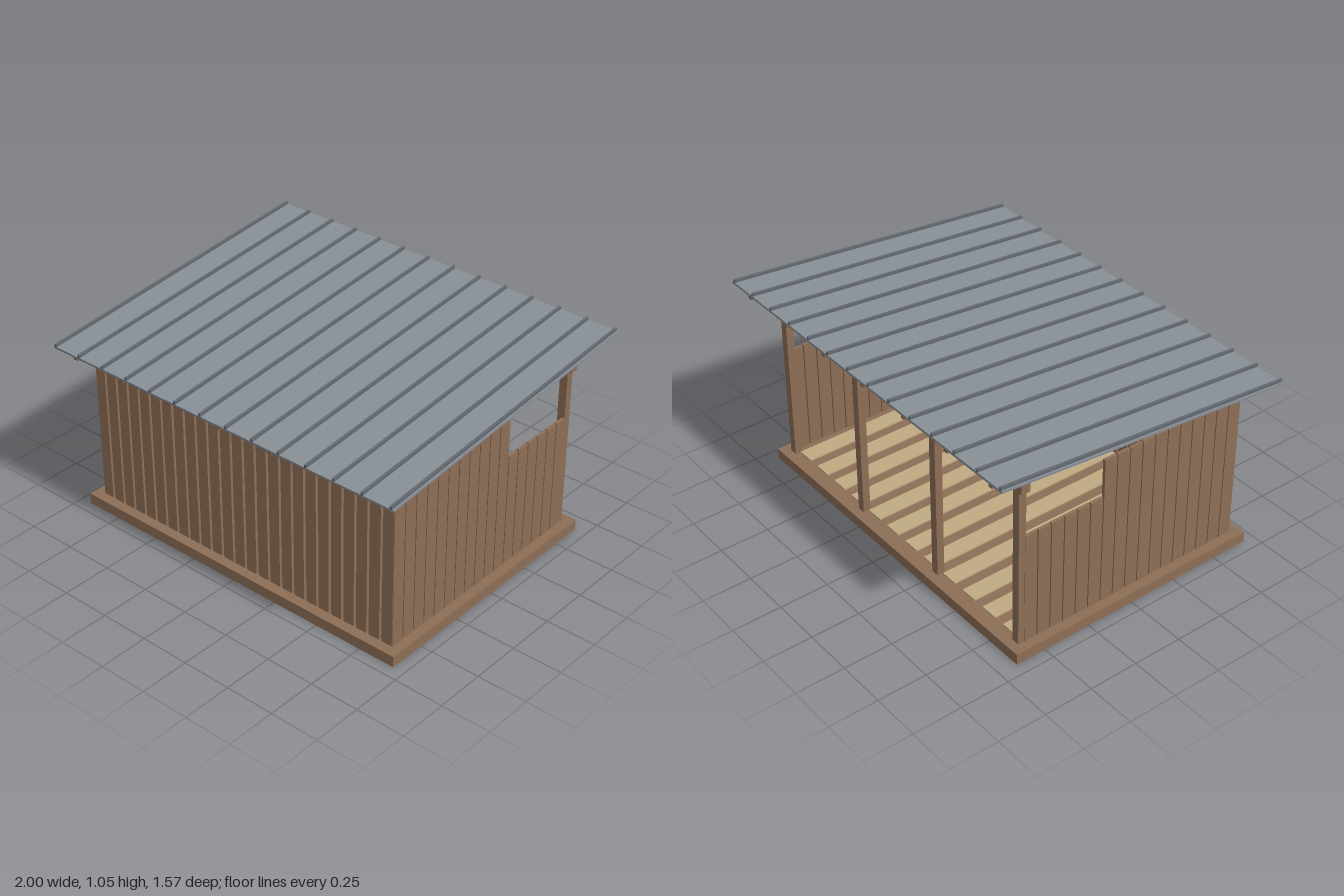
import * as THREE from 'three';

const wood = new THREE.MeshStandardMaterial({ name: 'brownWood', color: 0x8d6e56 });
const pale = new THREE.MeshStandardMaterial({ name: 'paleFloorWood', color: 0xc0aa82 });
const sheet = new THREE.MeshStandardMaterial({ name: 'greyRoofMetal', color: 0x888f96 });
const seam = new THREE.MeshStandardMaterial({ name: 'darkSeamMetal', color: 0x636a70 });

// Box given by its size and centre
function box(parent, name, mat, [w, h, d], [x, y, z]) {
  const m = new THREE.Mesh(new THREE.BoxGeometry(w, h, d), mat);
  m.name = name;
  m.position.set(x, y, z);
  parent.add(m);
  return m;
}

function group(parent, name) {
  const g = new THREE.Group();
  g.name = name;
  parent.add(g);
  return g;
}

export function createModel() {
  const shed = new THREE.Group();
  shed.name = 'shed';
  const BASE = 0.055, WALL = 0.83, LOW = 0.635, PITCH = 0.0717;

  // Base slab and floor boards running front to back
  box(shed, 'base', wood, [1.88, BASE, 1.345], [0, BASE / 2, 0.0175]);
  const floor = group(shed, 'floor');
  for (let i = 0; i < 12; i++) {
    box(floor, 'floorBoard', pale, [0.088, 0.008, 1.2], [(i - 5.5) * 0.145, BASE + 0.004, 0.015]);
  }

  // Front wall: upright boards with battens behind the gaps
  const front = group(shed, 'frontWall');
  const h = WALL - BASE, mid = (WALL + BASE) / 2;
  for (let i = 0; i < 25; i++) {
    const x = (i - 12) * PITCH;
    box(front, 'frontBoard', wood, [0.058, h, 0.016], [x, mid, 0.632]);
    if (i < 24) box(front, 'frontBatten', wood, [0.034, h, 0.008], [x + PITCH / 2, mid, 0.62]);
  }
  box(front, 'wallPanel', wood, [0.225, 0.24, 0.012], [-0.432, 0.48, 0.621]);

  // Side walls: tall boards in front, low boards behind
  for (const side of [-1, 1]) {
    const wall = group(shed, side > 0 ? 'leftWall' : 'rightWall');
    for (let i = 0; i < 17; i++) {
      const top = i < 11 ? WALL : LOW;
      const z = 0.64 - (i + 0.5) * PITCH;
      box(wall, 'sideBoard', wood, [0.016, top - BASE, 0.066], [side * 0.884, (top + BASE) / 2, z]);
    }
  }

  // Back posts and the two cross beams
  const frame = group(shed, 'frame');
  for (const x of [-0.87, -0.29, 0.29, 0.87]) {
    box(frame, 'backPost', wood, [0.04, 0.835, 0.038], [x, BASE + 0.4175, -0.59]);
  }
  box(frame, 'backBeam', wood, [1.82, 0.052, 0.045], [0, 0.907, -0.59]);
  box(frame, 'frontBeam', wood, [1.82, 0.036, 0.034], [0, 0.848, 0.628]);

  // Sloped roof: rafters, metal sheet and raised seams
  const roof = group(shed, 'roof');
  roof.position.y = 0.958;
  roof.rotation.x = Math.atan(0.0955);
  for (let i = -3; i <= 3; i++) {
    box(roof, 'rafter', wood, [0.024, 0.033, 1.52], [i * 0.298, -0.03, 0]);
  }
  box(roof, 'roofSheet', sheet, [2, 0.011, 1.575], [0, 0, 0]);
  for (let i = 0; i < 14; i++) {
    box(roof, 'roofSeam', seam, [0.012, 0.015, 1.575], [(i - 6.5) * 0.1517, 0.012, 0]);
  }
  return shed;
}
